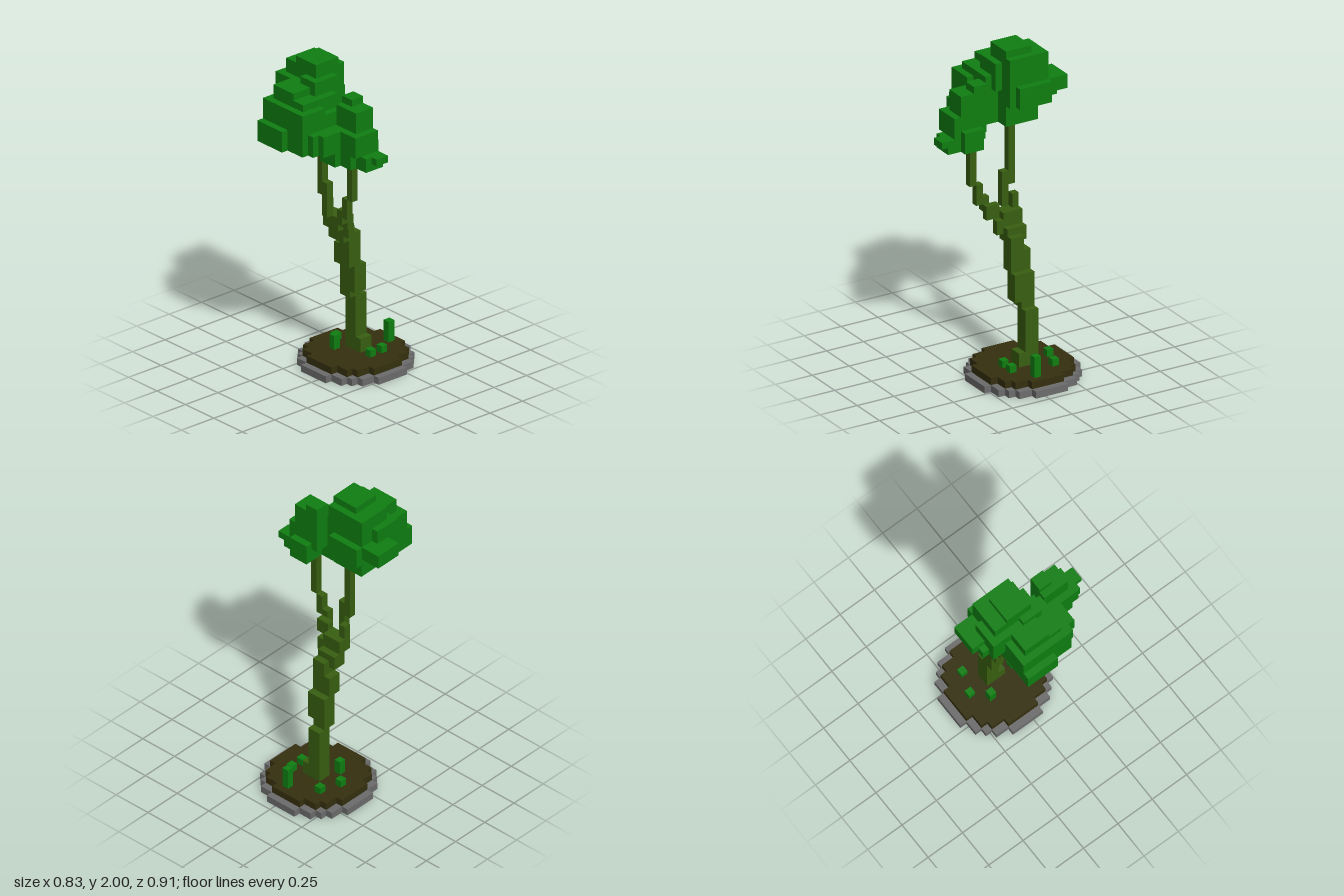
import * as THREE from 'three';

const V = 1 / 23; // size of one block

const leafGreen = new THREE.MeshStandardMaterial({ name: 'leafGreen', color: 0x0f7f11 });
const barkOlive = new THREE.MeshStandardMaterial({ name: 'barkOlive', color: 0x385f10 });
const soilBrown = new THREE.MeshStandardMaterial({ name: 'soilBrown', color: 0x35300f });
const stoneGrey = new THREE.MeshStandardMaterial({ name: 'stoneGrey', color: 0x6d6d6d });

// Box from its limits, counted in blocks
function block(parent, name, material, [x0, x1, y0, y1, z0, z1]) {
  const geo = new THREE.BoxGeometry((x1 - x0) * V, (y1 - y0) * V, (z1 - z0) * V);
  const mesh = new THREE.Mesh(geo, material);
  mesh.name = name;
  mesh.position.set((x0 + x1) / 2 * V, (y0 + y1) / 2 * V, (z0 + z1) / 2 * V);
  parent.add(mesh);
}

function cluster(parent, name, part, material, boxes) {
  const g = new THREE.Group();
  g.name = name;
  boxes.forEach((b) => block(g, part, material, b));
  parent.add(g);
}

export function createModel() {
  const model = new THREE.Group();
  model.name = 'blockTree';

  // Round base: row widths from back to front, stone rim around soil
  const outer = [5, 9, 11, 13, 13, 15, 15, 15, 15, 15, 13, 13, 11, 9, 5];
  const inner = [0, 5, 9, 11, 11, 13, 13, 13, 13, 13, 11, 11, 9, 5, 0];
  const rim = [], soil = [];
  outer.forEach((w, i) => {
    const z = -10.5 + i, n = inner[i], cx = -1;
    if (n) {
      soil.push([cx - n / 2, cx + n / 2, 0, 2, z, z + 1]);
      rim.push([cx - w / 2, cx - n / 2, 0, 1, z, z + 1], [cx + n / 2, cx + w / 2, 0, 1, z, z + 1]);
    } else {
      rim.push([cx - w / 2, cx + w / 2, 0, 1, z, z + 1]);
    }
  });
  cluster(model, 'stoneRim', 'rimStones', stoneGrey, rim);
  cluster(model, 'ground', 'soilRow', soilBrown, soil);

  // Grass tufts: x, z, top
  cluster(model, 'grass', 'tuft', leafGreen, [
    [0, -8, 5], [-4, -6, 3], [2, -5, 3], [-5, -3, 3], [2, -3, 3], [-3, -1, 4],
  ].map(([x, z, top]) => [x - 0.5, x + 0.5, 2, top, z - 0.5, z + 0.5]));

  // Trunk leaning towards the front
  cluster(model, 'trunk', 'trunkSection', barkOlive, [
    [-2.5, -0.5, 2, 10, -4.5, -2.5],
    [-0.5, 0.5, 2, 4, -4.5, -2.5],
    [-2.5, -0.5, 10, 15, -3.5, -1.5],
    [-0.5, 0.5, 11, 15, -3.5, -1.5],
    [-1.5, 0.5, 15, 20, -2.5, -0.5],
    [-2.5, -1.5, 15, 18, -2.5, -0.5],
    [-2.5, 0.5, 19, 21, -1.5, 0.5],
    [-2.5, 0.5, 21, 23, -0.5, 1.5],
  ]);
  cluster(model, 'rightBranch', 'branchSection', barkOlive, [
    [-2.5, -1.5, 23, 25, 0.5, 1.5],
    [-1.5, -0.5, 23, 28, 1.5, 2.5],
    [-2.5, -1.5, 26, 35, 1.5, 2.5],
  ]);
  cluster(model, 'leftBranch', 'branchSection', barkOlive, [
    [0.5, 1.5, 20, 22, -0.5, 0.5],
    [0.5, 1.5, 22, 24, 0.5, 1.5],
    [1.5, 2.5, 22, 24, 0.5, 1.5],
    [1.5, 2.5, 23, 25, 1.5, 2.5],
    [2.5, 3.5, 24, 27, 1.5, 2.5],
    [3.5, 4.5, 27, 33, 1.5, 2.5],
  ]);

  // Large crown
  cluster(model, 'largeCrown', 'leafBlock', leafGreen, [
    [-4.5, -0.5, 45, 46, 0.5, 4.5],
    [-6.5, -0.5, 38, 45, -0.5, 4.5],
    [-6.5, -1.5, 38, 41, -1.5, -0.5],
    [-2.5, 0.5, 40, 44, 1.5, 5.5],
    [-7.5, -4.5, 38, 43, 1.5, 5.5],
    [-9.5, -6.5, 39, 41, -0.5, 3.5],
    [-8.5, -5.5, 38, 40, 0.5, 4.5],
    [-4.5, -0.5, 38, 43, 4.5, 8.5],
    [-0.5, 1.5, 38, 42, 2.5, 8.5],
    [-2.5, 2.5, 38, 41, 5.5, 9.5],
    [-5.5, -0.5, 35, 41, 0.5, 9.5],
    [-5.5, -0.5, 35, 38, 4.5, 10.5],
    [-0.5, 2.5, 35, 38, 2.5, 9.5],
    [2.5, 3.5, 35, 38, 4.5, 8.5],
    [1.5, 4.5, 35, 38, 2.5, 7.5],
  ]);

  // Small crown
  cluster(model, 'smallCrown', 'leafBlock', leafGreen, [
    [2.5, 4.5, 41, 42, 0.5, 2.5],
    [2.5, 6.5, 35, 41, 0.5, 3.5],
    [2.5, 7.5, 35, 38, 0.5, 4.5],
    [1.5, 2.5, 33, 40, 2.5, 5.5],
    [1.5, 6.5, 33, 35, 2.5, 4.5],
    [1.5, 4.5, 33, 35, 4.5, 5.5],
    [3.5, 6.5, 33, 36, -0.5, 2.5],
    [6.5, 8.5, 33, 35, 0.5, 3.5],
    [8.5, 9.5, 34, 35, 0.5, 2.5],
  ]);

  return model;
}
